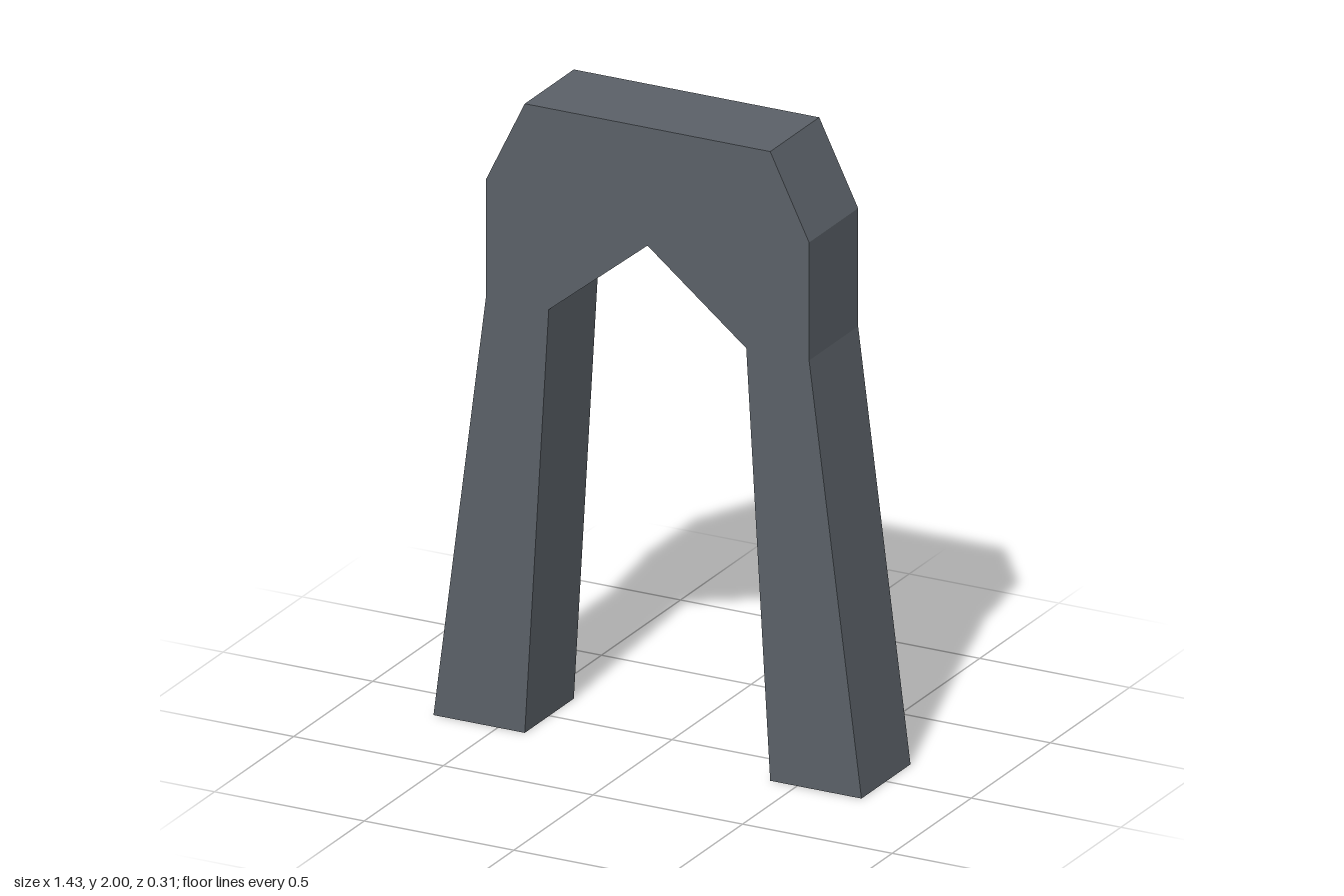
import * as THREE from 'three';

export function createModel() {
  const model = new THREE.Group();
  model.name = 'archway';

  const stone = new THREE.MeshStandardMaterial({ color: 0x5a6067 });
  stone.name = 'slate grey stone';

  // Right half of the outline, from the inner apex round to the top
  const half = [
    [0, 1.625], [0.33, 1.36], [0.41, 0], [0.715, 0],
    [0.54, 1.36], [0.54, 1.735], [0.41, 2],
  ];
  // Mirror it, skipping the shared apex
  const mirrored = half.slice(1).reverse().map(([x, y]) => [-x, y]);
  const outline = [...half, ...mirrored].map(([x, y]) => new THREE.Vector2(x, y));

  // Splayed legs and chamfered lintel in one solid slab
  const depth = 0.31;
  const geometry = new THREE.ExtrudeGeometry(new THREE.Shape(outline), {
    depth, bevelEnabled: false,
  });
  geometry.translate(0, 0, -depth / 2);

  const arch = new THREE.Mesh(geometry, stone);
  arch.name = 'archFrame';
  model.add(arch);
  return model;
}
